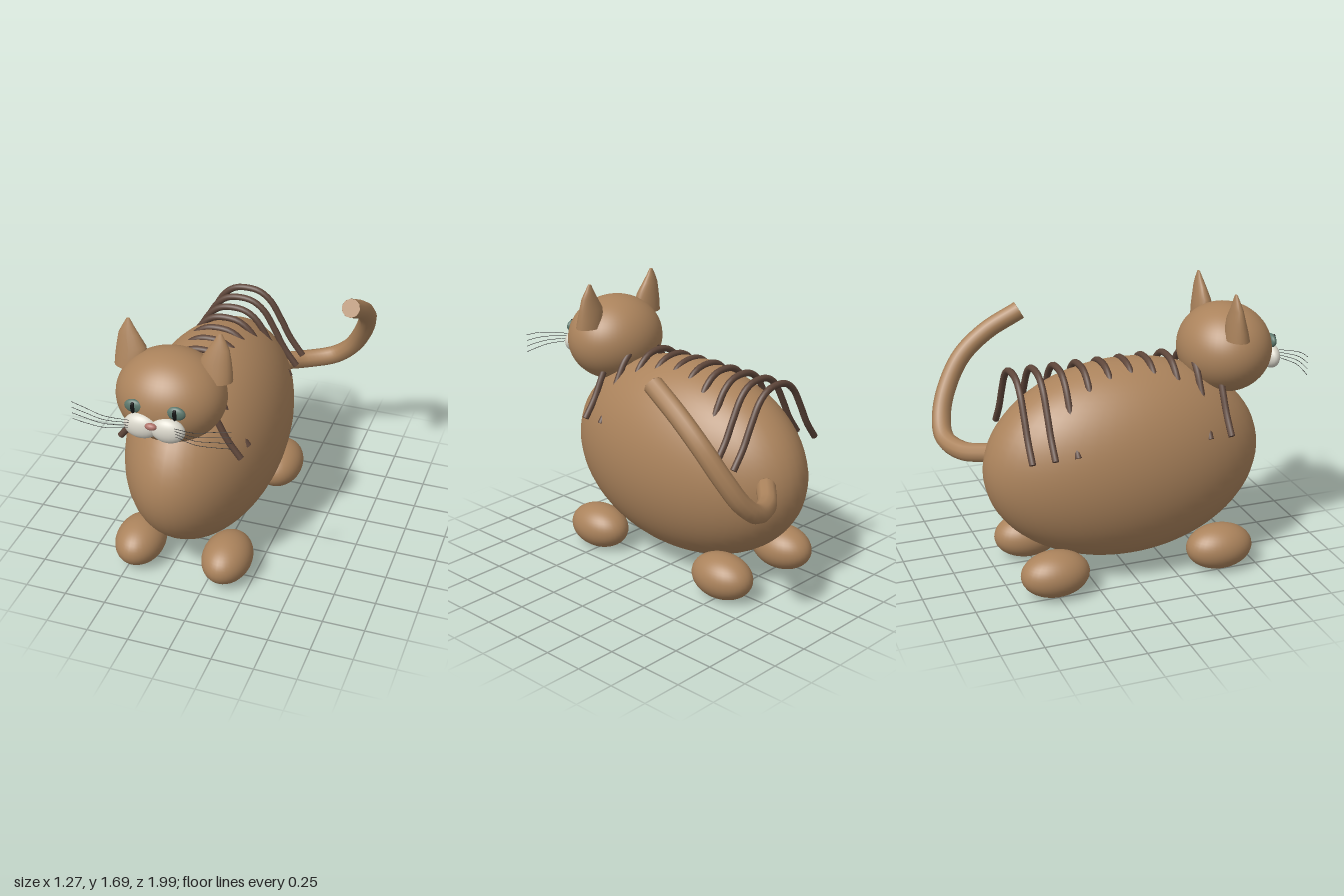
import * as THREE from 'three';

const CX = -0.18; // the cat's own mid-plane; the tail swings out to +x
const mat = (color) => new THREE.MeshStandardMaterial({ color, side: THREE.DoubleSide });
const V = (x, y, z) => new THREE.Vector3(x, y, z);

export function createModel() {
  const cat = new THREE.Group();
  cat.name = 'cat';
  const fur = mat(0xab835c), stripeFur = mat(0x5e463a), white = mat(0xdad7cb);
  const green = mat(0x5c776c), black = mat(0x141414), pink = mat(0xb0736a), hair = mat(0x333333);

  const add = (name, geometry, material) => {
    const mesh = new THREE.Mesh(geometry, material);
    mesh.name = name;
    cat.add(mesh);
    return mesh;
  };

  // Ellipsoid placed at an offset from the mid-plane
  const egg = (name, material, [dx, y, z], radii, seg = 32) => {
    const mesh = add(name, new THREE.SphereGeometry(1, seg, seg * 0.75), material);
    mesh.position.set(CX + dx, y, z);
    mesh.scale.set(...radii);
  };

  // Tube along a smooth path, closed with a disc at each end
  const rope = (name, material, points, radius, steps, sides) => {
    const curve = new THREE.CatmullRomCurve3(points);
    const tube = add(name, new THREE.TubeGeometry(curve, steps, radius, sides), material);
    for (const t of [0, 1]) {
      const cap = new THREE.Mesh(new THREE.CircleGeometry(radius, sides), material);
      cap.name = name + 'End';
      cap.position.copy(curve.getPoint(t));
      cap.lookAt(cap.position.clone().addScaledVector(curve.getTangent(t), t ? 1 : -1));
      tube.add(cap);
    }
  };

  // Ear: stacked oval sections [y, inner dx, outer dx, centre z, depth]
  const ear = (side) => {
    const sections = [
      [1.423, 0.150, 0.343, 0.612, 0.068],
      [1.480, 0.152, 0.339, 0.607, 0.060],
      [1.540, 0.160, 0.332, 0.602, 0.048],
      [1.608, 0.203, 0.320, 0.597, 0.032],
      [1.655, 0.233, 0.296, 0.592, 0.020],
      [1.695, 0.254, 0.274, 0.589, 0.007],
    ];
    const n = 20, last = sections.length - 1;
    const geometry = new THREE.CylinderGeometry(1, 1, 1, n, last);
    const p = geometry.attributes.position;
    for (let i = 0; i < p.count; i++) {
      const [y, inner, outer, z, depth] = sections[Math.round((p.getY(i) + 0.5) * last)];
      const dx = (inner + outer) / 2 + side * p.getX(i) * (outer - inner) / 2;
      p.setXYZ(i, CX + side * dx, y, z + p.getZ(i) * depth);
    }
    geometry.computeVertexNormals();
    add('ear', geometry, fur);
  };

  // Body and head
  egg('body', fur, [0, 0.692, 0.008], [0.45, 0.603, 0.847], 48);
  egg('head', fur, [0, 1.302, 0.645], [0.312, 0.263, 0.276], 48);
  egg('nose', pink, [0, 1.277, 0.957], [0.034, 0.02, 0.02], 16);

  for (const side of [-1, 1]) {
    // Feet
    egg('frontFoot', fur, [side * 0.275, 0.14, 0.525], [0.148, 0.136, 0.205]);
    egg('backFoot', fur, [side * 0.275, 0.14, -0.508], [0.148, 0.136, 0.205]);
    // Face
    egg('muzzle', white, [side * 0.076, 1.24, 0.908], [0.1, 0.075, 0.052], 24);
    egg('eye', green, [side * 0.12, 1.346, 0.893], [0.055, 0.04, 0.024], 24);
    egg('pupil', black, [side * 0.12, 1.346, 0.912], [0.013, 0.036, 0.011], 16);
    ear(side);
    // Whiskers fan outwards from the muzzle
    for (let i = 0; i < 4; i++) {
      const start = 1.236 + i * 0.016, end = 1.236 + i * 0.036;
      rope('whisker', hair, [
        V(CX + side * 0.13, start, 0.945),
        V(CX + side * 0.26, start * 0.55 + end * 0.45, 0.986),
        V(CX + side * 0.36, start * 0.2 + end * 0.8, 0.978),
        V(CX + side * 0.455, end, 0.96),
      ], 0.0016, 14, 5);
    }
  }

  // Ten equal arched stripes along the back
  const arch = [[0.365, 0.88], [0.285, 0.99], [0.222, 1.11], [0.15, 1.23], [0.08, 1.283]];
  const span = [
    ...arch.map(([x, y]) => [-x, y]), [0, 1.296],
    ...arch.slice().reverse(),
  ];
  for (let i = 0; i < 10; i++) {
    const z = 0.543 - i * 0.1335;
    rope('stripe', stripeFur, span.map(([x, y]) => V(CX + x, y, z)), 0.02, 40, 10);
  }

  // Tail curls out to the side, up and forwards
  rope('tail', fur, [
    V(0, 0.75, -0.745), V(0.15, 0.722, -0.875), V(0.32, 0.75, -0.942), V(0.43, 0.84, -0.93),
    V(0.51, 0.98, -0.875), V(0.568, 1.16, -0.76), V(0.575, 1.3, -0.6), V(0.55, 1.42, -0.39),
  ], 0.057, 48, 10);

  return cat;
}
